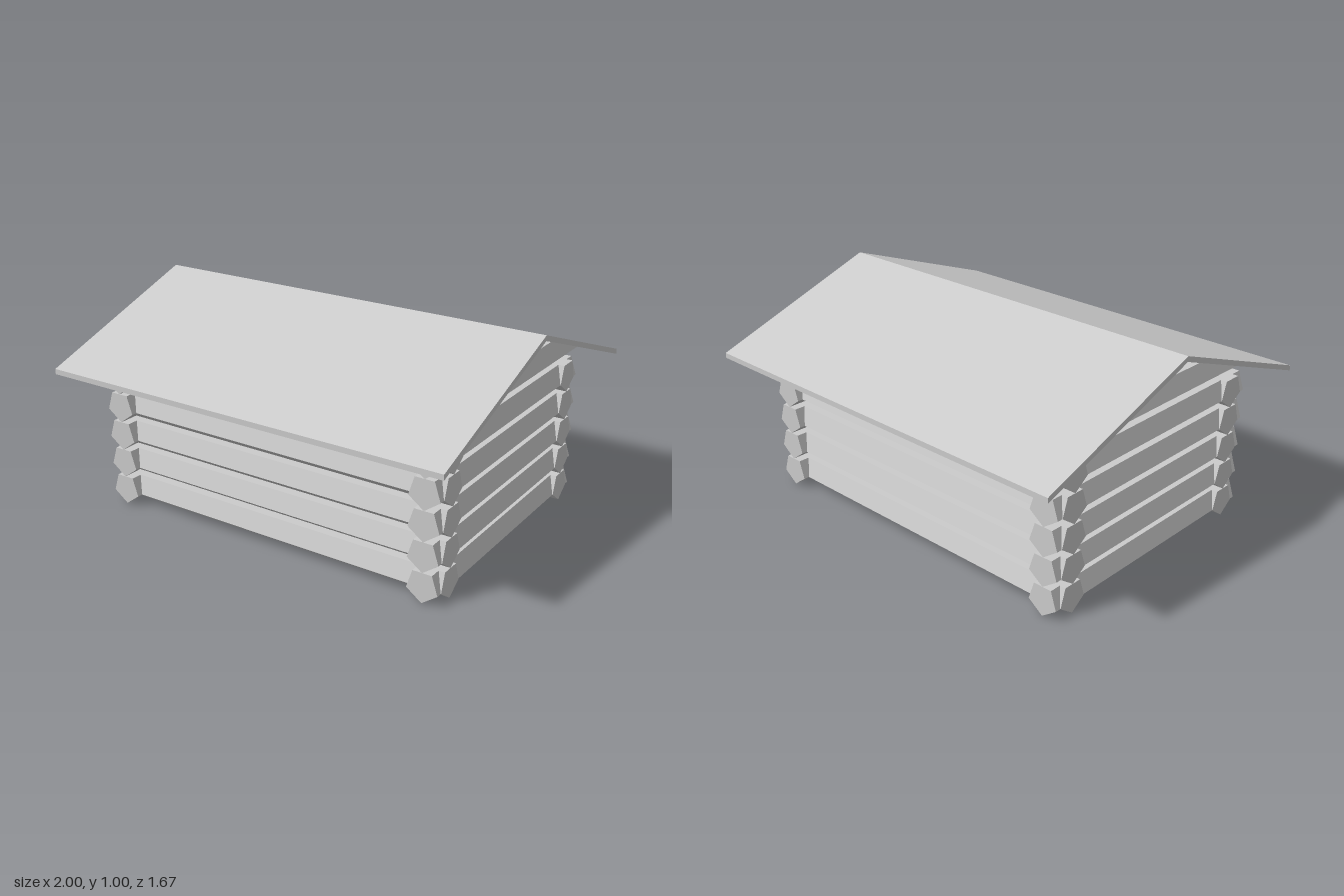
import * as THREE from 'three';

const R = 0.077;              // log radius
const STEP = 0.139;           // height of one log course
const WALL_X = 0.81, WALL_Z = 0.54;
const HALF_X = 0.885, HALF_Z = 0.64;
const RIDGE = 0.975, SLOPE = 0.354; // underside of the roof

const material = new THREE.MeshStandardMaterial({ color: 0xcccccc, flatShading: true });

// Five-sided log lying along z, one edge pointing down
function logGeometry(length) {
  return new THREE.CylinderGeometry(R, R, length, 5).rotateX(Math.PI / 2);
}

function addMesh(parent, geometry, name, x = 0, y = 0, z = 0) {
  const mesh = new THREE.Mesh(geometry, material);
  mesh.name = name;
  mesh.position.set(x, y, z);
  parent.add(mesh);
}

// Log whose ends are trimmed to the roof slope
function gableLogGeometry(y, front, back) {
  const geometry = logGeometry(2).toNonIndexed();
  const p = geometry.attributes.position;
  for (let i = 0; i < p.count; i++) {
    const limit = Math.max(0.02, (RIDGE - y - p.getY(i)) / SLOPE);
    p.setZ(i, p.getZ(i) > 0 ? Math.min(front, limit) : -Math.min(back, limit));
  }
  geometry.computeVertexNormals();
  return geometry;
}

export function createModel() {
  const model = new THREE.Group();
  model.name = 'logCabin';

  // Walls: five courses crossing at the corners
  const walls = new THREE.Group();
  walls.name = 'walls';
  const longLog = logGeometry(HALF_X * 2).rotateY(Math.PI / 2);
  const shortLog = logGeometry(HALF_Z * 2);
  for (let i = 0; i < 5; i++) {
    const y = R + i * STEP;
    for (const s of [1, -1]) {
      addMesh(walls, longLog, s > 0 ? 'frontLog' : 'backLog', 0, y, s * WALL_Z);
      addMesh(walls, shortLog, s > 0 ? 'leftLog' : 'rightLog', s * WALL_X, y, 0);
    }
  }
  model.add(walls);

  // Gables: two trimmed courses on each end wall
  const gables = new THREE.Group();
  gables.name = 'gables';
  [[5, HALF_Z, HALF_Z], [6, 0.385, 0.33]].forEach(([course, front, back]) => {
    const y = R + course * STEP;
    const geometry = gableLogGeometry(y, front, back);
    for (const s of [1, -1]) addMesh(gables, geometry, 'gableLog', s * WALL_X, y, 0);
  });
  model.add(gables);

  // Roof: thin chevron swept along x
  const roofShape = new THREE.Shape([
    [-0.837, 0.677], [0, RIDGE], [0.837, 0.677], [0.837, 0.702], [0, 1], [-0.837, 0.702],
  ].map(([a, b]) => new THREE.Vector2(a, b)));
  const roof = new THREE.ExtrudeGeometry(roofShape, { depth: 2, bevelEnabled: false })
    .translate(0, 0, -1).rotateY(Math.PI / 2);
  addMesh(model, roof, 'roof');

  return model;
}
